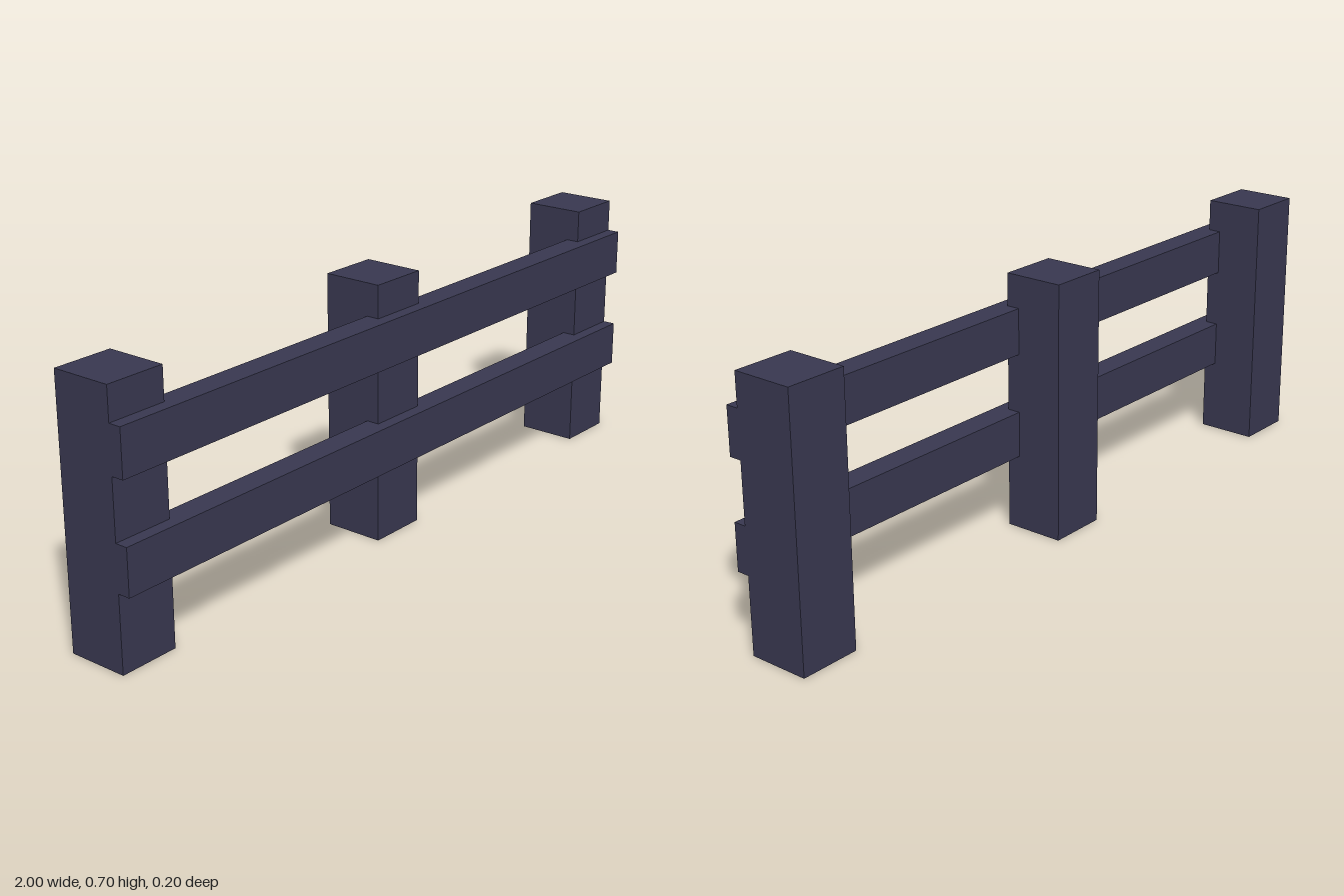
import * as THREE from 'three';

export function createModel() {
  const fence = new THREE.Group();
  fence.name = 'fence';
  const paint = new THREE.MeshStandardMaterial({ color: 0x38374f });
  paint.name = 'dark slate';

  // Box given by its centre x, width, and y and z ranges
  function beam(name, x, width, [y0, y1], [z0, z1]) {
    const mesh = new THREE.Mesh(new THREE.BoxGeometry(width, y1 - y0, z1 - z0), paint);
    mesh.position.set(x, (y0 + y1) / 2, (z0 + z1) / 2);
    mesh.name = name;
    fence.add(mesh);
  }

  // Three square posts
  const postWidth = 0.166;
  const endX = 1 - postWidth / 2;
  const posts = { rightPost: -endX, middlePost: 0, leftPost: endX };
  for (const [name, x] of Object.entries(posts)) {
    beam(name, x, postWidth, [0, 0.7], [-0.1, 0.066]);
  }

  // Two rails let into the front of the posts
  beam('lowerRail', 0, 2, [0.205, 0.329], [0.03, 0.1]);
  beam('upperRail', 0, 2, [0.488, 0.612], [0.03, 0.1]);

  return fence;
}
